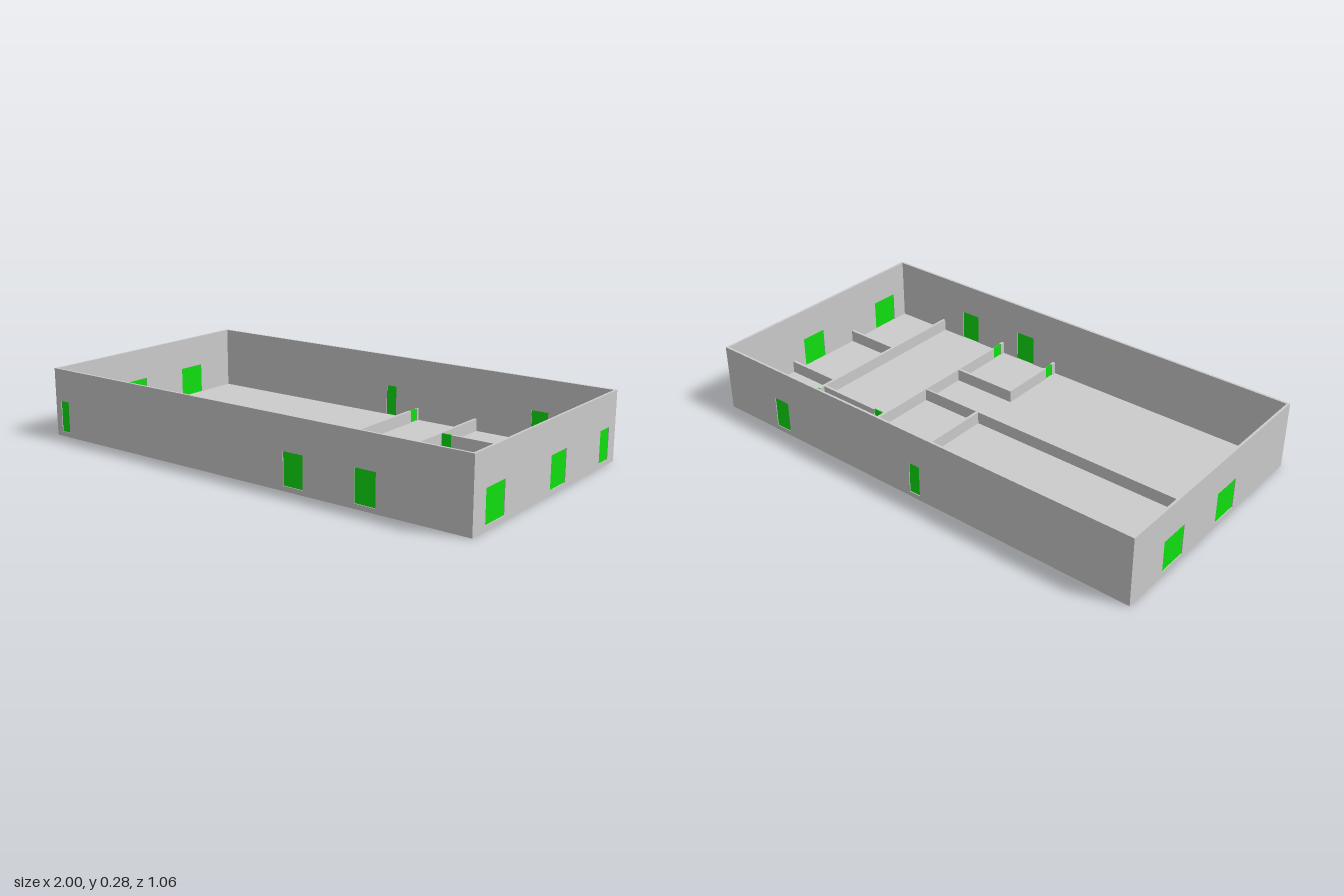
import * as THREE from 'three';

const WALL_HEIGHT = 0.285, FLOOR = 0.02, DOOR_TOP = 0.15, PARTITION_TOP = 0.072;
const HALF_X = 1, HALF_Z = 0.53, OUTER = 0.01, INNER = 0.012;

export function createModel() {
  const group = new THREE.Group();
  const grey = new THREE.MeshStandardMaterial({ color: 0xcccccc });
  const green = new THREE.MeshStandardMaterial({ color: 0x10e010 });

  const add = (parent, name, geometry, material) => {
    const mesh = new THREE.Mesh(geometry, material);
    mesh.name = name;
    parent.add(mesh);
  };

  // Wall running along x or z from a to b, centred on "at", with doors set
  // into openings. Doors reaching the wall top become notches in the outline.
  function wall(name, axis, at, a, b, { y0 = 0, top, thick, doors = [] }) {
    const part = new THREE.Group();
    part.name = name;
    const doorTop = Math.min(DOOR_TOP, top);
    const open = doorTop === top;
    const shape = new THREE.Shape();
    shape.moveTo(a, top).lineTo(a, y0).lineTo(b, y0).lineTo(b, top);
    for (const [d0, d1] of doors) {
      if (open) {
        shape.lineTo(d1, top).lineTo(d1, FLOOR).lineTo(d0, FLOOR).lineTo(d0, top);
      } else {
        const hole = new THREE.Path();
        hole.moveTo(d0, FLOOR).lineTo(d0, doorTop).lineTo(d1, doorTop).lineTo(d1, FLOOR).closePath();
        shape.holes.push(hole);
      }
    }
    shape.closePath();
    const body = new THREE.ExtrudeGeometry(shape, { depth: thick, bevelEnabled: false });
    add(part, 'wallPanel', body.translate(0, 0, -thick / 2), grey);

    // Thin door leaves in the middle of the wall
    for (const [d0, d1] of doors) {
      const leaf = new THREE.BoxGeometry(d1 - d0, doorTop - FLOOR, thick * 0.4);
      add(part, 'door', leaf.translate((d0 + d1) / 2, (doorTop + FLOOR) / 2, 0), green);
    }
    if (axis === 'z') {
      part.rotation.y = -Math.PI / 2;
      part.position.x = at;
    } else {
      part.position.z = at;
    }
    group.add(part);
  }

  // Floor slab inside the outer walls
  const slab = new THREE.BoxGeometry(2 * (HALF_X - OUTER), FLOOR, 2 * (HALF_Z - OUTER));
  add(group, 'floor', slab.translate(0, FLOOR / 2, 0), grey);

  // Outer walls
  const outer = (doors) => ({ top: WALL_HEIGHT, thick: OUTER, doors });
  const zEdge = HALF_Z - OUTER / 2, xEdge = HALF_X - OUTER / 2, zEnd = HALF_Z - OUTER;
  wall('frontWall', 'x', zEdge, -HALF_X, HALF_X, outer([[0.53, 0.62], [0.215, 0.305], [-0.97, -0.925]]));
  wall('backWall', 'x', -zEdge, -HALF_X, HALF_X, outer([[0.645, 0.72], [-0.06, -0.01]]));
  wall('leftWall', 'z', xEdge, -zEnd, zEnd, outer([[0.325, 0.45], [-0.12, -0.003], [-0.475, -0.4]]));
  wall('rightWall', 'z', -xEdge, -zEnd, zEnd, outer([[0.02, 0.147], [-0.333, -0.205]]));

  // Low partitions: [name, axis, position, start, end, doors]
  const h = INNER / 2, xEnd = HALF_X - OUTER;
  const partitions = [
    ['mainPartition', 'z', 0.388, -zEnd, zEnd, [[0.45, 0.5]]],
    ['sidePartition', 'z', 0.738, -zEnd, zEnd, [[-0.322, -0.277]]],
    ['backRoomPartition', 'z', 0.101, -zEnd, -0.004, [[-0.508, -0.46]]],
    ['frontRoomPartition', 'z', 0.101, 0.213 - h, zEnd, [[0.455, 0.497]]],
    ['longPartition', 'x', 0, -xEnd, 0.388 - h, [], 0.008],
    ['frontRoomEnd', 'x', 0.213, 0.101 + h, 0.388 - h, []],
    ['middleRoomEnd', 'x', -0.249, 0.388 + h, 0.738 - h, [[0.396, 0.441]]],
    ['sideRoomBackEnd', 'x', -0.187, 0.738 + h, xEnd, []],
    ['sideRoomFrontEnd', 'x', 0.175, 0.738 + h, xEnd, []],
  ];
  for (const [name, axis, at, a, b, doors, thick = INNER] of partitions) {
    wall(name, axis, at, a, b, { y0: FLOOR - 0.005, top: PARTITION_TOP, thick, doors });
  }
  return group;
}
